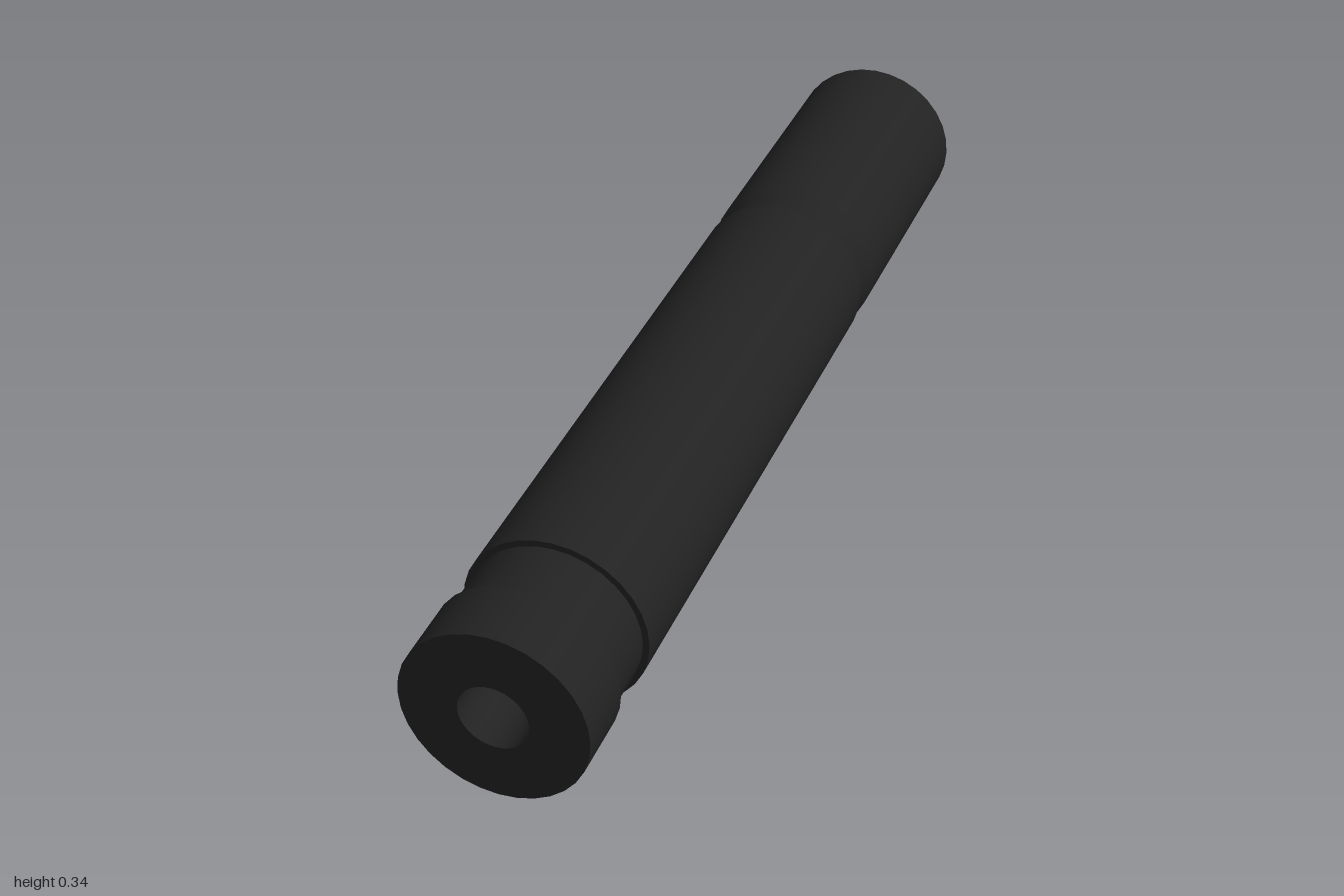
import * as THREE from 'three';
import { mergeGeometries } from 'three/addons/utils/BufferGeometryUtils.js';

const SEGMENTS = 32;
const R = 0.171;      // outer radius
const GROOVE = 0.159; // radius at the bottom of the grooves
const BORE = 0.064;   // radius of the through hole

// Turns a profile of [radius, z] points about the z axis, keeping every edge sharp.
function turned(name, profile, material) {
  const strips = [];
  for (let i = 0; i < profile.length - 1; i++) {
    const points = [profile[i], profile[i + 1]].map(([r, z]) => new THREE.Vector2(r, z));
    strips.push(new THREE.LatheGeometry(points, SEGMENTS));
  }
  const geometry = mergeGeometries(strips);
  geometry.rotateX(Math.PI / 2);
  const mesh = new THREE.Mesh(geometry, material);
  mesh.name = name;
  return mesh;
}

export function createModel() {
  const black = new THREE.MeshStandardMaterial({ color: 0x222222 });
  black.name = 'matte black';

  const tube = new THREE.Group();
  tube.name = 'tube';
  tube.position.y = R;

  tube.add(
    // Rear section with its ring-shaped end face
    turned('rearSection', [[BORE, -1], [R, -1], [R, -0.46]], black),
    // V-shaped groove
    turned('vGroove', [[R, -0.46], [GROOVE, -0.425], [R, -0.385]], black),
    // Long main body
    turned('mainBody', [[R, -0.385], [R, 0.75]], black),
    // Square-shouldered groove
    turned('frontGroove', [[R, 0.75], [GROOVE, 0.75], [GROOVE, 0.873], [R, 0.873]], black),
    // Front collar with its ring-shaped end face
    turned('frontCollar', [[R, 0.873], [R, 1], [BORE, 1]], black),
    // Inner wall of the through hole
    turned('bore', [[BORE, 1], [BORE, -1]], black),
  );

  const model = new THREE.Group();
  model.name = 'groovedTube';
  model.add(tube);
  return model;
}
